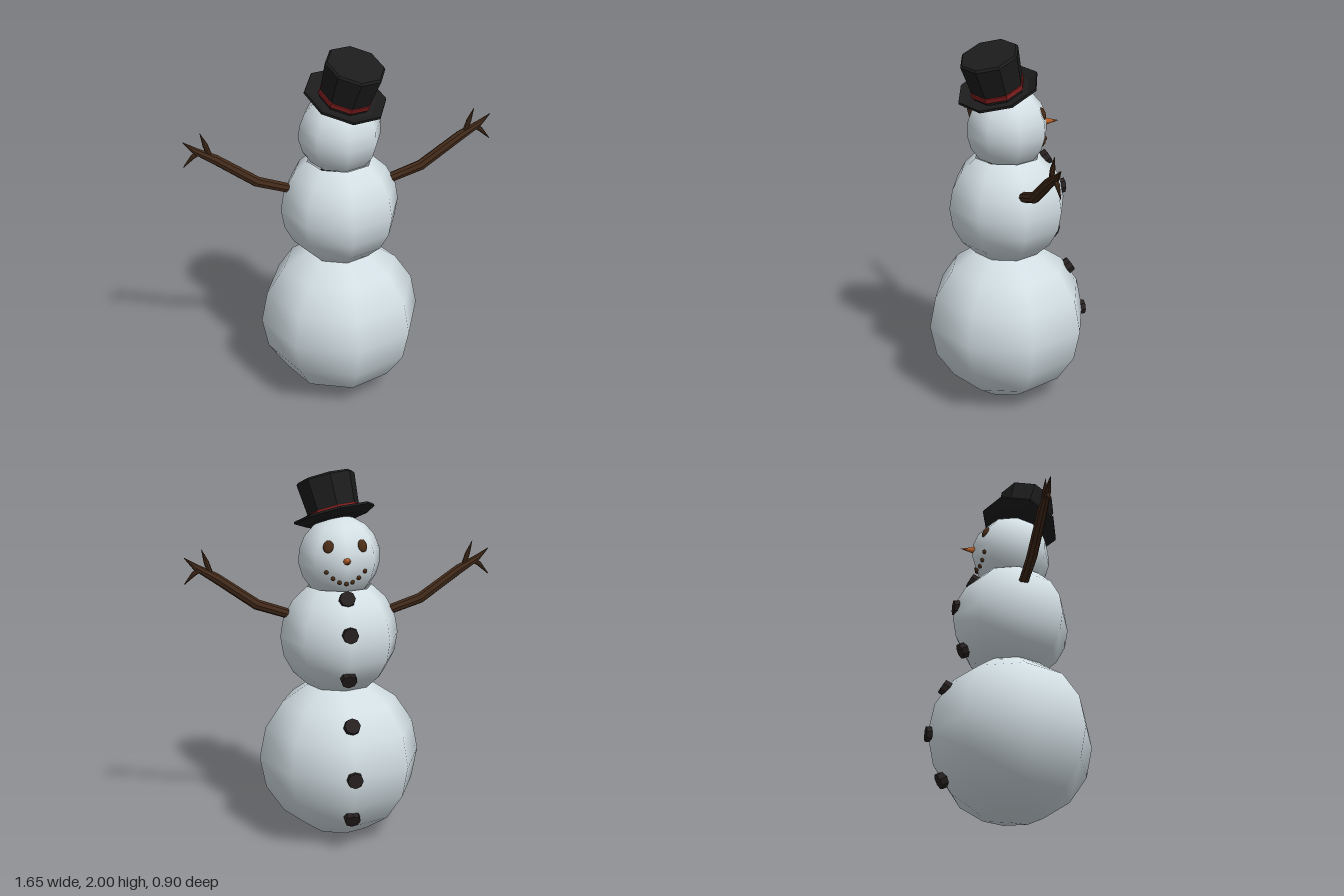
import * as THREE from 'three';

const mat = (color, flatShading = false) =>
  new THREE.MeshStandardMaterial({ color, flatShading, roughness: 0.9 });
const snow = mat(0xd3dfe4);
const felt = mat(0x1c1c1c, true);
const ribbon = mat(0x8a2020, true);
const bark = mat(0x422a1a, true);
const coal = mat(0x272020, true);
const pebble = mat(0x4a2c16);
const carrot = mat(0xb8622a);
snow.side = felt.side = THREE.DoubleSide;

const HEAD = { y: 1.54, r: 0.222 };

function add(parent, name, geometry, material, x = 0, y = 0, z = 0) {
  const mesh = new THREE.Mesh(geometry, material);
  mesh.name = name;
  mesh.position.set(x, y, z);
  parent.add(mesh);
  return mesh;
}

// Eight-sided snowball, open where it meets its neighbours (angles from the top)
function snowball(r, from, to, rings) {
  const d = THREE.MathUtils.degToRad;
  return new THREE.SphereGeometry(r, 8, rings, 0, Math.PI * 2, d(from), d(to - from));
}

// Tapered stick through stations [x, y, radius] in the xy plane
function stick(stations, sides = 8) {
  const pos = [], index = [];
  stations.forEach(([x, y, r], i) => {
    const a = stations[Math.max(i - 1, 0)];
    const b = stations[Math.min(i + 1, stations.length - 1)];
    const len = Math.hypot(b[0] - a[0], b[1] - a[1]);
    const nx = -(b[1] - a[1]) / len, ny = (b[0] - a[0]) / len;
    for (let j = 0; j < sides; j++) {
      const t = (j / sides) * Math.PI * 2;
      pos.push(x + nx * r * Math.cos(t), y + ny * r * Math.cos(t), r * Math.sin(t));
      if (i === 0) continue;
      const k = (j + 1) % sides, p = (i - 1) * sides, q = i * sides;
      index.push(p + j, p + k, q + k, p + j, q + k, q + j);
    }
  });
  const g = new THREE.BufferGeometry();
  g.setAttribute('position', new THREE.Float32BufferAttribute(pos, 3));
  g.setIndex(index);
  g.computeVertexNormals();
  return g;
}

// Depth of the head's faceted face at a given x and y
function faceZ(x, y) {
  const r = Math.sqrt(HEAD.r ** 2 - (y - HEAD.y) ** 2);
  return -(r - Math.abs(x) * 0.414);
}

function createArm(side) {
  const arm = new THREE.Group();
  arm.name = side > 0 ? 'leftArm' : 'rightArm';
  const branch = (name, pts) =>
    add(arm, name, stick(pts.map(([x, y, r]) => [x * side, y, r])), bark);
  branch('armBranch', [[0.273, 1.243, 0], [0.278, 1.244, 0.027], [0.445, 1.3, 0.029],
    [0.66, 1.452, 0.027], [0.76, 1.51, 0.018], [0.82, 1.562, 0.002]]);
  branch('lowerTwig', [[0.735, 1.5, 0.014], [0.772, 1.477, 0.013], [0.823, 1.422, 0.002]]);
  branch('upperTwig', [[0.685, 1.475, 0.014], [0.705, 1.535, 0.014], [0.73, 1.605, 0.001]]);
  return arm;
}

function createHat() {
  const hat = new THREE.Group();
  hat.name = 'hat';
  const lathe = pts => new THREE.LatheGeometry(pts.map(p => new THREE.Vector2(...p)), 8);
  // Brim with turned-up edge, flared crown
  add(hat, 'hatBrim', lathe([[0, 0], [0.17, 0], [0.222, 0.028], [0.22, 0.04],
    [0.17, 0.016], [0.13, 0.016]]), felt);
  add(hat, 'hatCrown', lathe([[0.135, 0.01], [0.142, 0.06], [0.16, 0.225],
    [0.15, 0.236], [0, 0.236]]), felt);
  add(hat, 'hatBand', lathe([[0.136, 0.03], [0.145, 0.032], [0.148, 0.058], [0.14, 0.06]]), ribbon);
  // Tipped backwards and to one side
  hat.position.set(0.01, 1.73, 0.045);
  hat.quaternion.setFromUnitVectors(new THREE.Vector3(0, 1, 0),
    new THREE.Vector3(0.19, 0.93, 0.3).normalize());
  return hat;
}

export function createModel() {
  const model = new THREE.Group();
  model.name = 'snowman';

  // Body
  add(model, 'bottomBall', snowball(0.443, 22.5, 180, 7), snow, 0, 0.444, 0);
  add(model, 'middleBall', snowball(0.322, 33, 147, 6), snow, 0, 1.118, 0);
  add(model, 'head', snowball(HEAD.r, 0, 136, 7), snow, 0, HEAD.y, 0);

  // Buttons: y, z, upward tilt in degrees
  [[1.352, -0.215, 30], [1.183, -0.302, 0], [0.935, -0.262, -28],
    [0.705, -0.355, 32], [0.44, -0.433, 0], [0.197, -0.362, -30]].forEach(([y, z, tilt]) => {
    const button = add(model, 'button', new THREE.CylinderGeometry(0.042, 0.044, 0.04, 8), coal, 0, y, z);
    button.rotation.x = -Math.PI / 2 + THREE.MathUtils.degToRad(tilt);
  });

  // Face
  const nose = add(model, 'nose', new THREE.ConeGeometry(0.026, 0.1, 8), carrot, 0, 1.553, -0.238);
  nose.rotation.x = -Math.PI / 2;
  for (const s of [-1, 1]) {
    const eye = add(model, s > 0 ? 'leftEye' : 'rightEye', new THREE.SphereGeometry(1, 10, 8), pebble,
      0.09 * s, 1.625, faceZ(0.09, 1.625) + 0.002);
    eye.scale.set(0.028, 0.034, 0.014);
    eye.rotation.set(0.35, -0.39 * s, 0, 'YXZ');
  }
  for (let i = -3; i <= 3; i++) {
    const x = i * 0.034, y = 1.432 + 0.0068 * i * i;
    add(model, 'mouthPebble', new THREE.SphereGeometry(0.012, 8, 6), pebble, x, y, faceZ(x, y));
  }

  model.add(createArm(1), createArm(-1), createHat());
  return model;
}
